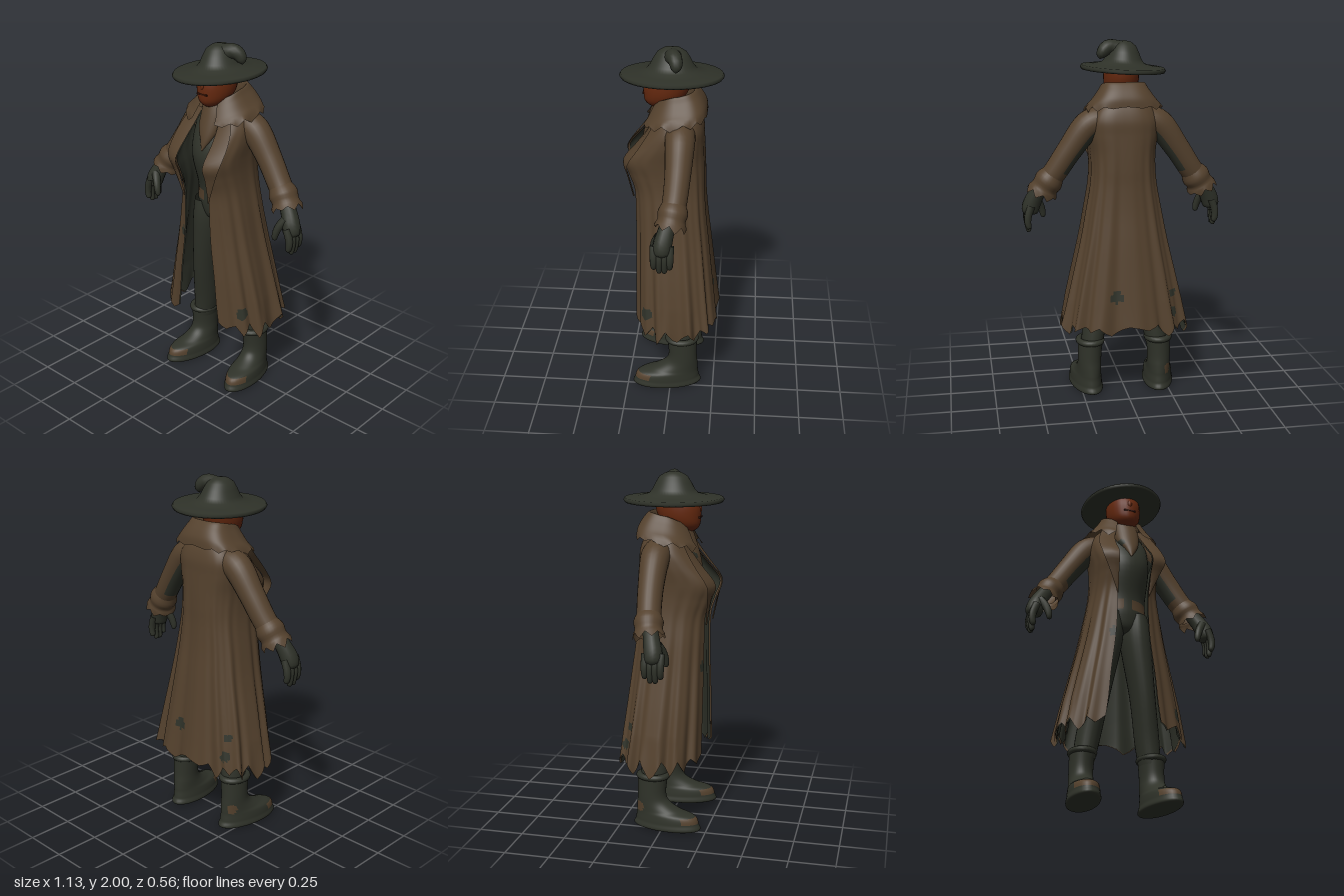
import * as THREE from 'three';

const V = (x, y, z) => new THREE.Vector3(x, y, z);
const mat = (name, color) => {
  const m = new THREE.MeshStandardMaterial({ color, side: THREE.DoubleSide });
  m.name = name;
  return m;
};
const hash = n => { const s = Math.sin(n * 127.1 + 3.7) * 43758.55; return s - Math.floor(s); };
// torn edge: pointed teeth of uneven depth
const teeth = (j, step) => (1 - Math.abs((j % step) / step * 2 - 1)) * (0.25 + 0.75 * hash(Math.floor(j / step)));

// Catmull-Rom resampling of a table of cross-sections
function resample(rows, n) {
  const out = [], last = rows.length - 1;
  for (let k = 0; k <= n; k++) {
    const s = k / n * last, i = Math.min(Math.floor(s), last - 1), t = s - i;
    out.push(rows[i].map((b, c) => {
      const a = rows[Math.max(i - 1, 0)][c], d = rows[i + 1][c], e = rows[Math.min(i + 2, last)][c];
      return b + 0.5 * t * (d - a + t * (2 * a - 5 * b + 4 * d - e + t * (3 * (b - d) + e - a)));
    }));
  }
  return out;
}

// Skin over rows of points; paint(centre, row, column) picks the material index
function skin(name, rows, closed, mats, paint = () => 0) {
  const n = rows[0].length, buckets = mats.map(() => []);
  for (let i = 0; i < rows.length - 1; i++) {
    for (let j = 0; j < (closed ? n : n - 1); j++) {
      const k = (j + 1) % n;
      const c = rows[i][j].clone().add(rows[i + 1][k]).multiplyScalar(0.5);
      const A = i * n + j, B = A + n, C = (i + 1) * n + k, D = i * n + k;
      buckets[paint(c, i, j)].push(A, B, C, A, C, D);
    }
  }
  const g = new THREE.BufferGeometry().setFromPoints(rows.flat());
  g.setIndex(buckets.flat());
  let start = 0;
  buckets.forEach((b, m) => { g.addGroup(start, b.length, m); start += b.length; });
  g.computeVertexNormals();
  const mesh = new THREE.Mesh(g, mats.length > 1 ? mats : mats[0]);
  mesh.name = name;
  return mesh;
}

// Level ellipses [cx, y, cz, rx, rz], listed from the top down
function loft(name, sections, mats, paint, n = 24, steps = 24) {
  const rows = resample(sections, steps).map(([cx, y, cz, rx, rz]) => Array.from({ length: n }, (_, j) => {
    const a = j / n * Math.PI * 2;
    return V(cx + rx * Math.sin(a), y, cz + rz * Math.cos(a));
  }));
  return skin(name, rows, true, mats, paint);
}

// Round sweep along [x, y, z, radius], with an optional torn end
function sweep(name, path, mats, { n = 14, steps = 12, torn = 0, paint } = {}) {
  const p = resample(path, steps), Z = V(0, 0, 1);
  const rows = p.map((q, i) => {
    const a = p[Math.max(i - 1, 0)], b = p[Math.min(i + 1, steps)];
    const d = V(b[0] - a[0], b[1] - a[1], b[2] - a[2]).normalize();
    const u = Z.clone().cross(d).normalize(), w = d.clone().cross(u);
    return Array.from({ length: n }, (_, j) => {
      const t = j / n * Math.PI * 2;
      return V(q[0], q[1], q[2]).addScaledVector(u, q[3] * Math.sin(t)).addScaledVector(w, q[3] * Math.cos(t))
        .addScaledVector(d, i === steps ? torn * teeth(j, 4) : 0);
    });
  });
  return skin(name, rows, true, mats, paint);
}

// Cloth open at the front, square behind and rounder in front:
// [y, halfWidth, zFront, zBack, openingHalfWidth, frontDrop]
function drape(name, sections, mats, { steps, n, step, inset = 0, fold = 0, torn = 0, paint } = {}) {
  const rows = resample(sections, steps).map(([y, w0, zf0, zb0, gap, drop], i) => {
    const v = i / steps, w = w0 - inset, zf = zf0 - inset, zb = zb0 + inset, zc = (zf + zb) / 2;
    const max = Math.PI - Math.asin(Math.pow(gap / w, 1 / 0.85));
    return Array.from({ length: n + 1 }, (_, j) => {
      const f = (j / n * 2 - 1) * max, s = Math.sin(f), c = Math.cos(f), e = c > 0 ? 0.68 : 0.85;
      const pleat = 1 + fold * v * v * (Math.sin(f * 13) + 0.5 * Math.sin(f * 23 + 1)) * Math.min(1, (max - Math.abs(f)) * 3);
      const x = -w * Math.sign(s) * Math.pow(Math.abs(s), e) * pleat;
      const z = c > 0 ? zc + (zb - zc) * Math.pow(c, e) * pleat
        : zc + (zf - zc) * Math.pow(c / Math.cos(max), e) * pleat;
      const edge = Math.max(0, (v - 0.9) / 0.1);
      return V(x, y - drop * Math.pow((1 - c) / 2, 2) - torn * edge * teeth(j, step), z);
    });
  });
  return skin(name, rows, false, mats, paint);
}

export function createModel() {
  const model = new THREE.Group();
  model.name = 'cloakedWanderer';
  const brown = mat('coatBrown', 0x54412d), dark = mat('darkCloth', 0x2f3229);
  const red = mat('skinRed', 0x66290f), maroon = mat('mouthMaroon', 0x3a1608);

  // Long coat with worn patches, and its dark lining
  const coat = [
    [1.68, 0.09, 0.06, -0.10, 0.05, 0], [1.64, 0.15, 0.09, -0.14, 0.06, 0], [1.57, 0.19, 0.125, -0.165, 0.08, 0],
    [1.49, 0.195, 0.185, -0.17, 0.095, 0], [1.39, 0.185, 0.262, -0.175, 0.10, 0], [1.30, 0.182, 0.238, -0.178, 0.095, 0],
    [1.20, 0.19, 0.208, -0.18, 0.09, 0], [1.06, 0.215, 0.204, -0.19, 0.09, 0], [0.90, 0.245, 0.204, -0.208, 0.10, 0],
    [0.70, 0.29, 0.205, -0.23, 0.125, 0], [0.54, 0.325, 0.205, -0.248, 0.14, 0], [0.43, 0.352, 0.205, -0.262, 0.155, 0]];
  const holes = [[0.27, 0.50, 0.13, 0.035], [-0.27, 0.60, -0.2, 0.035], [-0.26, 0.49, -0.21, 0.03],
    [0.07, 0.6, -0.24, 0.035], [-0.11, 0.93, 0.2, 0.025]].map(h => [V(h[0], h[1], h[2]), h[3]]);
  const worn = c => holes.some(([p, r]) => p.distanceTo(c) < r) ? 1 : 0;
  const cloth = { steps: 88, n: 160, step: 10, fold: 0.045, torn: 0.1 };
  model.add(drape('coat', coat, [brown, dark], { ...cloth, paint: worn }));
  model.add(drape('coatLining', coat, [dark], { ...cloth, inset: 0.009, torn: 0.095 }));

  // Standing collar, folded over and torn, with low front points
  model.add(drape('collar', [
    [1.60, 0.13, 0.09, -0.12, 0.05, 0], [1.70, 0.105, 0.085, -0.10, 0.05, 0.02], [1.775, 0.115, 0.085, -0.115, 0.055, 0.07],
    [1.745, 0.138, 0.11, -0.15, 0.06, 0.08], [1.695, 0.175, 0.135, -0.178, 0.075, 0.08],
    [1.65, 0.215, 0.155, -0.185, 0.08, 0.06]],
  [brown], { steps: 25, n: 96, step: 8, torn: 0.04 }));

  // Lapels lying on the coat edges
  const inner = [[0.06, 1.65, 0.09], [0.082, 1.57, 0.13], [0.094, 1.49, 0.19], [0.099, 1.39, 0.267], [0.094, 1.3, 0.243], [0.088, 1.16, 0.21]];
  const outer = [[0.14, 1.64, 0.085], [0.17, 1.57, 0.12], [0.19, 1.49, 0.172], [0.188, 1.39, 0.235], [0.15, 1.3, 0.23], [0.092, 1.16, 0.211]];
  const strips = [inner, outer].map(t => resample(t, 20).map(p => V(...p)));
  const middle = strips[0].map((p, i) => p.clone().lerp(strips[1][i], 0.5).add(V(0, 0, 0.008)));
  for (const side of [1, -1]) {
    const lapel = skin(side > 0 ? 'leftLapel' : 'rightLapel', [strips[1], middle, strips[0]], false, [brown]);
    lapel.scale.x = side;
    model.add(lapel);
  }

  // Waistcoat with traces of a belt, and neck scarf
  model.add(loft('waistcoat', [
    [0, 1.66, -0.02, 0.06, 0.07], [0, 1.58, -0.01, 0.15, 0.11], [0, 1.4, 0.01, 0.155, 0.165], [0, 1.2, -0.01, 0.14, 0.14],
    [0, 1.08, -0.01, 0.145, 0.13], [0, 1.0, 0, 0.08, 0.09], [0, 0.99, 0, 0.001, 0.001]], [dark, brown],
  (c) => c.y > 1.12 && c.y < 1.17 && Math.abs(c.x) > 0.03 && c.z > 0.05 ? 1 : 0, 36, 36));
  model.add(loft('scarf', [[0, 1.7, 0.03, 0.075, 0.075], [0.005, 1.63, 0.06, 0.078, 0.07], [0.005, 1.55, 0.105, 0.065, 0.05],
    [0.01, 1.49, 0.14, 0.035, 0.028], [0.005, 1.43, 0.17, 0.002, 0.004]], [brown, dark],
  c => Math.hypot(c.x + 0.045, c.y - 1.535) < 0.02 && c.z > 0.1 ? 1 : 0, 32, 40));

  // Head, nose and mouth
  model.add(loft('head', [[0, 1.92, 0.02, 0.03, 0.03], [0, 1.88, 0.02, 0.085, 0.1], [0, 1.81, 0.033, 0.098, 0.126],
    [0, 1.74, 0.045, 0.092, 0.117], [0, 1.695, 0.065, 0.068, 0.088], [0, 1.668, 0.075, 0.03, 0.045],
    [0, 1.664, 0.075, 0.001, 0.001]], [red]));
  const nose = new THREE.Mesh(new THREE.SphereGeometry(0.018, 12, 10), red);
  nose.name = 'nose';
  nose.scale.set(0.8, 1.4, 0.8);
  nose.position.set(0, 1.79, 0.154);
  const mouth = new THREE.Mesh(new THREE.BoxGeometry(0.07, 0.008, 0.009), maroon);
  mouth.name = 'mouth';
  mouth.position.set(0, 1.745, 0.16);
  model.add(nose, mouth);

  // Wide-brimmed hat with a drooping tip
  const hat = new THREE.Group();
  hat.name = 'hat';
  const profile = [[0.001, 1.835], [0.1, 1.835], [0.2, 1.832], [0.272, 1.828], [0.28, 1.84], [0.272, 1.852], [0.2, 1.858],
    [0.138, 1.872], [0.118, 1.895], [0.1, 1.93], [0.078, 1.965], [0.045, 1.985], [0.001, 1.992]];
  const brim = new THREE.Mesh(new THREE.LatheGeometry(profile.map(([r, y]) => new THREE.Vector2(r, y - 1.84)), 48), dark);
  brim.name = 'hatBrimAndCrown';
  brim.scale.x = 0.84;
  brim.rotation.z = 0.05;
  brim.position.set(-0.005, 1.84, 0.01);
  hat.add(brim, sweep('hatTip', [[0.0, 1.93, 0.005, 0.06], [0.045, 1.952, 0, 0.046], [0.08, 1.957, -0.01, 0.04],
    [0.107, 1.937, -0.02, 0.035], [0.122, 1.91, -0.02, 0.024], [0.126, 1.893, -0.02, 0.001]], [dark]));
  model.add(hat);

  for (const side of [1, -1]) {
    const half = new THREE.Group();
    half.name = side > 0 ? 'leftLimbs' : 'rightLimbs';
    half.scale.x = side;

    // Sleeve with a dark underside, torn cuff
    const sleeve = [[0.11, 1.565, -0.045, 0.08], [0.2, 1.535, -0.048, 0.08], [0.3, 1.405, -0.045, 0.07], [0.38, 1.285, -0.035, 0.066],
      [0.445, 1.2, -0.02, 0.064]];
    half.add(sweep('sleeve', sleeve, [brown, dark], { n: 24, steps: 24,
      paint: (c, i, j) => Math.sin((j + 0.5) / 24 * Math.PI * 2) < -0.5 && i > 4 && i < 17 ? 1 : 0 }));
    half.add(sweep('cuff', [[0.39, 1.27, -0.032, 0.064], [0.415, 1.235, -0.028, 0.08], [0.437, 1.2, -0.022, 0.074],
      [0.45, 1.175, -0.018, 0.086]], [brown], { n: 32, steps: 9, torn: 0.045 }));

    // Glove
    half.add(sweep('palm', [[0.44, 1.22, -0.015, 0.04], [0.485, 1.15, 0.005, 0.045], [0.512, 1.09, 0.02, 0.05],
      [0.522, 1.045, 0.022, 0.042], [0.523, 1.03, 0.022, 0.001]], [dark]));
    for (let f = 0; f < 4; f++) {
      const z = -0.02 + f * 0.028, tip = 0.965 - 0.025 * Math.sin(f / 3 * Math.PI);
      half.add(sweep('finger', [[0.515, 1.09, z, 0.022], [0.534, 1.035, z, 0.021], [0.537, 0.995, z, 0.019],
        [0.53, tip, z, 0.014], [0.528, tip - 0.006, z, 0.001]], [dark], { n: 10, steps: 10 }));
    }
    half.add(sweep('thumb', [[0.49, 1.13, 0.04, 0.025], [0.462, 1.085, 0.062, 0.022], [0.447, 1.04, 0.072, 0.019],
      [0.443, 1.01, 0.072, 0.013], [0.443, 1.003, 0.072, 0.001]], [dark], { n: 10, steps: 10 }));

    // Trouser leg
    half.add(loft('trouserLeg', [[0.075, 1.1, 0, 0.075, 0.12], [0.085, 0.95, 0.01, 0.085, 0.11], [0.13, 0.65, -0.01, 0.07, 0.09],
      [0.17, 0.4, -0.05, 0.068, 0.08], [0.19, 0.26, -0.065, 0.06, 0.075]], [dark]));

    // Boot with a scuffed toe, turned outward; the right heel is scuffed too
    const boot = new THREE.Group();
    boot.name = 'boot';
    boot.position.set(0.203, 0, -0.07);
    boot.rotation.y = 0.13;
    const toe = c => c.z > 0.2 && c.y > 0.045 && c.y < 0.08;
    const heel = c => side < 0 && c.distanceTo(V(0.055, 0.12, -0.06)) < 0.032;
    boot.add(loft('bootBody', [[-0.005, 0.31, 0.005, 0.07, 0.088], [0, 0.2, 0, 0.066, 0.082], [0, 0.145, 0.01, 0.067, 0.096],
      [0, 0.105, 0.045, 0.072, 0.134], [0, 0.08, 0.085, 0.08, 0.175], [0, 0.04, 0.093, 0.084, 0.188], [0, 0, 0.091, 0.082, 0.185],
      [0, 0, 0.09, 0.001, 0.001]], [dark, brown], c => toe(c) || heel(c) ? 1 : 0, 40, 56));
    const top = new THREE.Mesh(new THREE.TorusGeometry(0.064, 0.018, 10, 28), dark);
    top.name = 'bootCuff';
    top.rotation.x = Math.PI / 2;
    top.scale.y = 1.2;
    top.position.set(-0.005, 0.3, 0.005);
    boot.add(top);
    half.add(boot);
    model.add(half);
  }
  return model;
}
